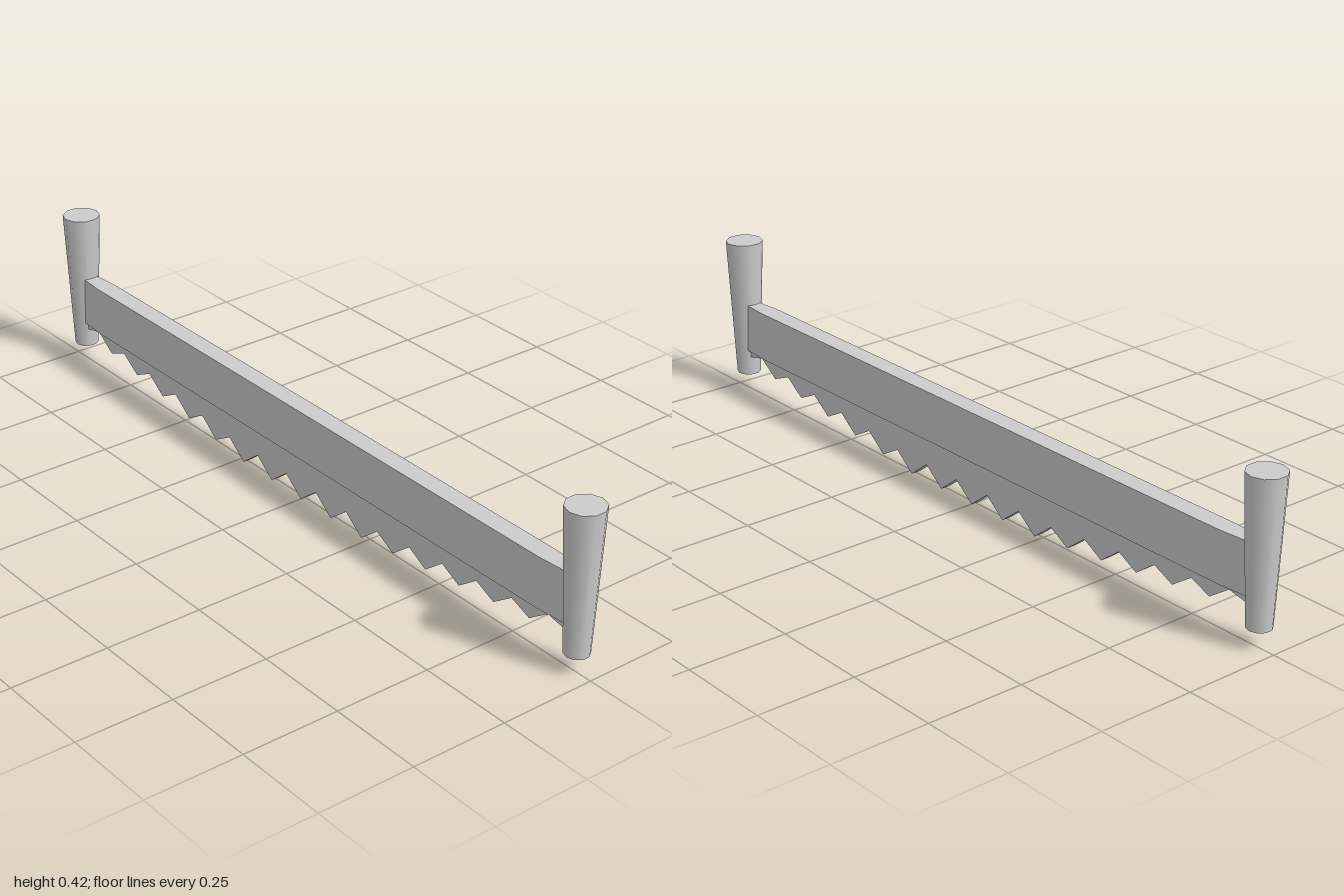
import * as THREE from 'three';

const material = new THREE.MeshStandardMaterial({ color: 0xcccccc });

function addPart(group, name, geometry) {
  const mesh = new THREE.Mesh(geometry, material);
  mesh.name = name;
  group.add(mesh);
  return mesh;
}

export function createModel() {
  const saw = new THREE.Group();
  saw.name = 'twoHandedSaw';

  // Tapered ten-sided handles at both ends
  for (const side of [1, -1]) {
    const handle = addPart(saw, side > 0 ? 'frontHandle' : 'backHandle',
      new THREE.CylinderGeometry(0.0485, 0.031, 0.37, 10, 1, false, Math.PI / 2));
    handle.position.set(0, 0.235, side * 0.954);
  }

  // Thick spine, narrowing where it meets the handles (plan outline extruded upward)
  const plan = new THREE.Shape([
    [0.018, -0.94], [0.025, -0.85], [0.025, 0.85], [0.018, 0.94],
    [-0.018, 0.94], [-0.025, 0.85], [-0.025, -0.85], [-0.018, -0.94],
  ].map(([x, y]) => new THREE.Vector2(x, y)));
  const spine = new THREE.ExtrudeGeometry(plan, { depth: 0.13, bevelEnabled: false });
  spine.rotateX(-Math.PI / 2);
  spine.translate(0, 0.12, 0);
  addPart(saw, 'spine', spine);

  // Thin toothed blade: tips and gullets rise from the middle to the ends
  const pitch = 0.1163;
  const tips = [0, 0, 0, 0.013, 0.026, 0.04, 0.055, 0.072];
  const gullets = [0.045, 0.045, 0.045, 0.058, 0.07, 0.082, 0.095, 0.112];
  const edge = [];
  for (let k = -7; k <= 7; k++) {
    const i = Math.abs(k);
    if (k <= 0) edge.push(new THREE.Vector2((k - 0.5) * pitch, gullets[i]));
    edge.push(new THREE.Vector2(k * pitch, tips[i]));
    if (k >= 0) edge.push(new THREE.Vector2((k + 0.5) * pitch, gullets[i]));
  }
  const outline = new THREE.Shape([
    new THREE.Vector2(-0.94, 0.14), new THREE.Vector2(-0.94, 0.098),
    ...edge,
    new THREE.Vector2(0.94, 0.098), new THREE.Vector2(0.94, 0.14),
  ]);
  const blade = new THREE.ExtrudeGeometry(outline, { depth: 0.026, bevelEnabled: false });
  blade.translate(0, 0, -0.013);
  blade.rotateY(-Math.PI / 2);
  addPart(saw, 'toothedBlade', blade);

  return saw;
}
